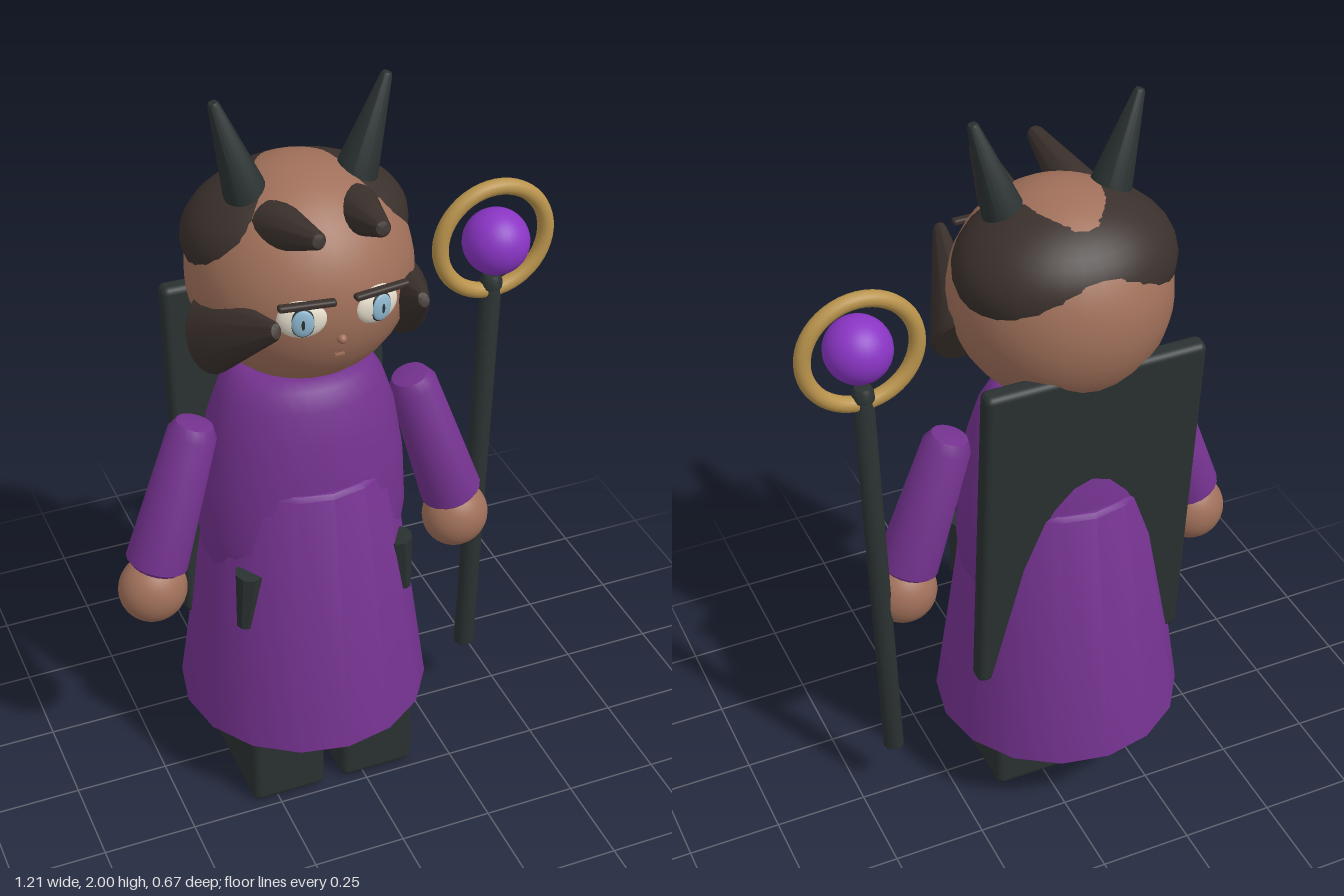
import * as THREE from 'three';
import { RoundedBoxGeometry } from 'three/addons/geometries/RoundedBoxGeometry.js';
import { toCreasedNormals } from 'three/addons/utils/BufferGeometryUtils.js';

const paint = (color) => new THREE.MeshStandardMaterial({ color });

export function createModel() {
  const model = new THREE.Group();
  const figure = new THREE.Group();
  figure.name = 'figure';
  figure.position.x = -0.088;
  model.add(figure);

  const robe = paint(0x74328f), skin = paint(0xa0705a), hair = paint(0x3a302c), dark = paint(0x2a3131);
  const gold = paint(0xb9934c), orbColor = paint(0x8a35c4), white = paint(0xe4dccb), blue = paint(0x8fb8d0);

  function add(parent, name, geometry, material, x = 0, y = 0, z = 0) {
    const mesh = new THREE.Mesh(geometry, material);
    mesh.name = name;
    mesh.position.set(x, y, z);
    parent.add(mesh);
    return mesh;
  }

  function ball(parent, name, material, p, rx, ry = rx, rz = rx) {
    return add(parent, name, new THREE.SphereGeometry(1, 32, 24).scale(rx, ry, rz), material, ...p);
  }

  // Round tapered bar from a to b with softened ends; flat squeezes it across x
  function taper(parent, name, material, a, b, ra, rb, flat = 1, sides = 20) {
    const from = new THREE.Vector3(...a), dir = new THREE.Vector3(...b).sub(from), len = dir.length();
    const profile = [[0, 0], [ra * 0.85, 0], [ra, ra * 0.15], [rb, len - rb * 0.6], [rb * 0.75, len - rb * 0.15], [0, len]]
      .map((p) => new THREE.Vector2(...p));
    const geometry = toCreasedNormals(new THREE.LatheGeometry(profile, sides).scale(flat, 1, 1), 0.7);
    const mesh = add(parent, name, geometry, material, ...a);
    mesh.quaternion.setFromUnitVectors(new THREE.Vector3(0, 1, 0), dir.normalize());
    return mesh;
  }

  // Robe: flared skirt and a broad, shallow torso
  const skirtProfile = [[0, 0.212], [0.325, 0.212], [0.335, 0.222], [0.232, 0.965], [0.222, 0.977], [0, 0.977]];
  const skirt = new THREE.LatheGeometry(skirtProfile.map((p) => new THREE.Vector2(...p)), 16);
  add(figure, 'robeSkirt', toCreasedNormals(skirt, 0.6), robe);
  const torsoProfile = [[0, 0.6], [0.24, 0.62], [0.265, 0.7], [0.277, 0.8], [0.27, 0.95], [0.245, 1.1],
    [0.215, 1.19], [0.185, 1.24], [0.15, 1.26], [0, 1.27]];
  const torso = new THREE.LatheGeometry(torsoProfile.map((p) => new THREE.Vector2(...p)), 32);
  add(figure, 'robeTorso', torso.scale(1, 1, 0.8), robe);

  // Head, hair cap and mouth
  ball(figure, 'head', skin, [0, 1.52, 0], 0.28);
  const cap = ball(figure, 'hairCap', hair, [0, 1.617, -0.027], 0.283, 0.174, 0.226);
  cap.rotation.x = -0.14;
  ball(figure, 'nose', skin, [0, 1.465, 0.274], 0.012, 0.012, 0.014);
  add(figure, 'mouth', new THREE.BoxGeometry(0.024, 0.006, 0.012), skin, 0, 1.415, 0.258);

  // Paired parts
  for (const s of [-1, 1]) {
    const side = s > 0 ? 'left' : 'right';
    taper(figure, side + 'Horn', dark, [s * 0.13, 1.72, 0.02], [s * 0.215, 2.0, 0.025], 0.058, 0.014);
    taper(figure, side + 'Forelock', hair, [s * 0.1, 1.7, 0.1], [s * 0.077, 1.77, 0.33], 0.062, 0.022);
    taper(figure, side + 'SideLock', hair, [s * 0.245, 1.405, 0.04], [s * 0.182, 1.56, 0.33], 0.103, 0.024, 0.72);

    const eye = new THREE.Group();
    eye.name = side + 'Eye';
    eye.position.set(s * 0.093, 1.53, 0.256);
    eye.rotation.y = s * 0.25;
    figure.add(eye);
    ball(eye, 'eyeWhite', white, [0, 0, 0], 0.06, 0.049, 0.026);
    ball(eye, 'irisRim', dark, [0, 0, 0.019], 0.03, 0.038, 0.009);
    ball(eye, 'iris', blue, [0, 0, 0.022], 0.027, 0.035, 0.009);
    ball(eye, 'pupil', dark, [0, 0, 0.028], 0.006, 0.016, 0.004);
    const brow = add(figure, side + 'Brow', new RoundedBoxGeometry(0.14, 0.016, 0.022, 2, 0.006), hair, s * 0.093, 1.585, 0.29);
    brow.rotation.set(0, s * 0.08, s * 0.04);

    taper(figure, side + 'Sleeve', robe, [s * 0.415, 0.745, 0.04], [s * 0.287, 1.15, 0.025], 0.082, 0.064);
    ball(figure, side + 'Hand', skin, [s * 0.427, 0.672, 0.04], 0.09, 0.092, 0.083);
    add(figure, side + 'Leg', new RoundedBoxGeometry(0.207, 0.26, 0.35, 3, 0.022), dark, s * 0.128, 0.13, 0.055);

    // Belt pouch, narrower at the bottom
    const pouchShape = new THREE.CylinderGeometry(0.04, 0.024, 0.165, 8).scale(0.9, 1, 1);
    const pouch = add(figure, side + 'Pouch', toCreasedNormals(pouchShape, 0.5), dark, s * 0.215, 0.662, 0.163);
    pouch.rotation.z = s * 0.09;
  }

  // Slab carried on the back, leaning with the robe
  const slab = add(figure, 'backSlab', new RoundedBoxGeometry(0.59, 0.975, 0.055, 3, 0.018), dark, 0, 0.923, -0.16);
  slab.rotation.x = -0.085;

  // Staff with ring and orb
  const staff = new THREE.Group();
  staff.name = 'staff';
  model.add(staff);
  taper(staff, 'staffPole', dark, [0.403, 0.168, 0], [0.435, 1.35, 0], 0.028, 0.027, 1, 12);
  taper(staff, 'staffCollar', dark, [0.434, 1.335, 0], [0.435, 1.378, 0], 0.03, 0.028, 1, 12);
  add(staff, 'staffRing', new THREE.TorusGeometry(0.146, 0.021, 14, 48), gold, 0.435, 1.475, 0);
  ball(staff, 'staffOrb', orbColor, [0.436, 1.475, 0.013], 0.086);

  return model;
}
